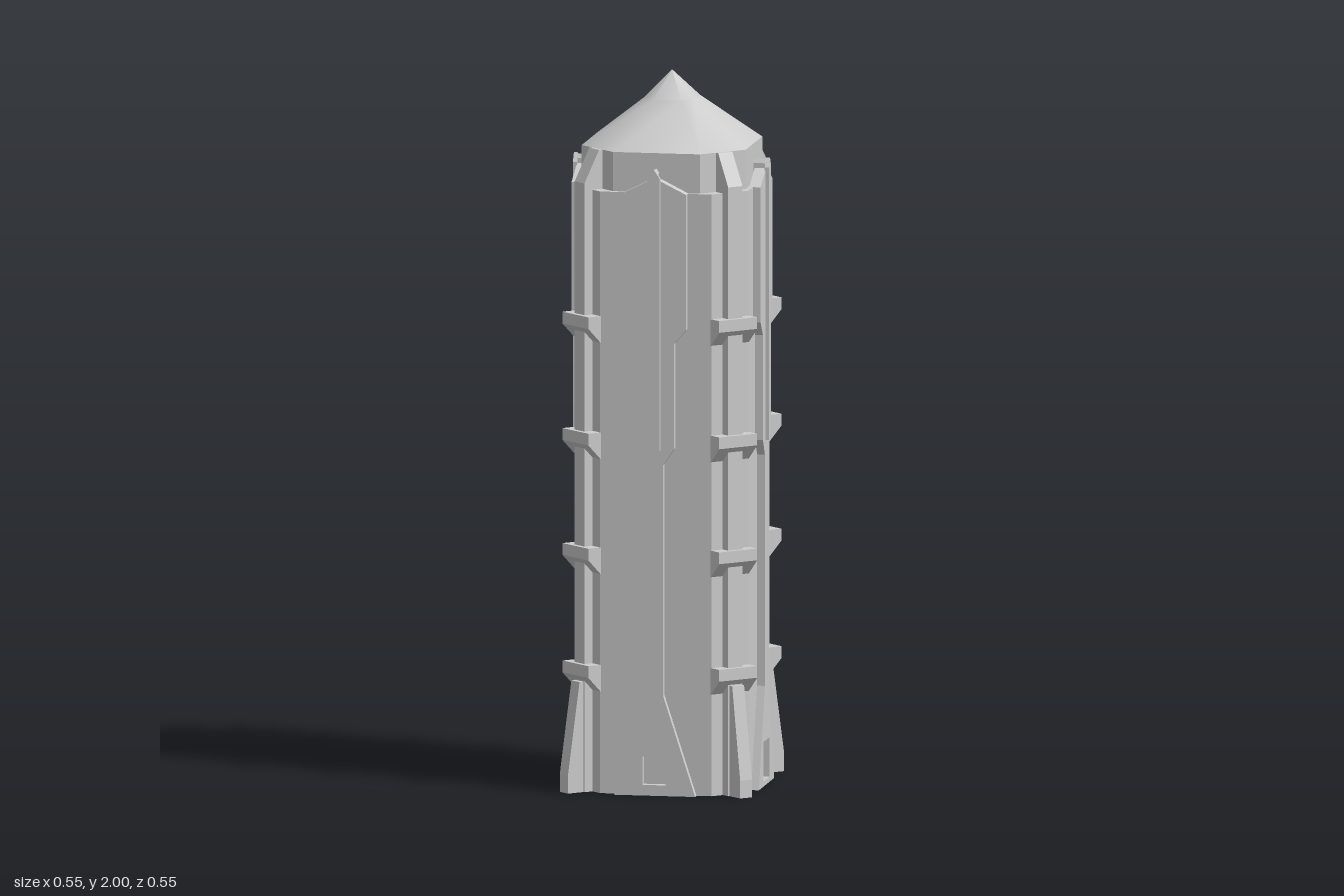
import * as THREE from 'three';

const grey = new THREE.MeshStandardMaterial({ color: 0xcccccc });
grey.name = 'lightGrey';

function mesh(name, geometry) {
  const m = new THREE.Mesh(geometry, grey);
  m.name = name;
  return m;
}

// Flat outline extruded from z0 to z1
function slab(points, z0, z1, holePoints) {
  const shape = new THREE.Shape(points.map(([x, y]) => new THREE.Vector2(x, y)));
  if (holePoints) shape.holes.push(new THREE.Path(holePoints.map(([x, y]) => new THREE.Vector2(x, y))));
  return new THREE.ExtrudeGeometry(shape, { depth: z1 - z0, bevelEnabled: false }).translate(0, 0, z0);
}

// Radial side profile (distance out, height) given a width; points out along +z
function radial(points, halfWidth) {
  return slab(points, -halfWidth, halfWidth).rotateY(-Math.PI / 2);
}

// Half outline (right side, bottom to top) mirrored about x = 0
function mirrored(half) {
  return [...half, ...half.slice().reverse().filter(([x]) => x > 0).map(([x, y]) => [-x, y])];
}

// Square with cut corners: a = half size, b = half length of the flat side
function octagon(a, b) {
  return [[a, -b], [a, b], [b, a], [-b, a], [-a, b], [-a, -b], [-b, -a], [b, -a]];
}

function prism(a, b, y0, y1) {
  return slab(octagon(a, b), y0, y1).rotateX(-Math.PI / 2);
}

// Smooth roof section between two octagons
function roofSection([a0, b0, y0], [a1, b1, y1]) {
  const pos = [], index = [];
  const low = octagon(a0, b0), high = octagon(a1, b1);
  for (let i = 0; i < 8; i++) {
    pos.push(low[i][0], y0, -low[i][1], high[i][0], y1, -high[i][1]);
    const p = i * 2, q = ((i + 1) % 8) * 2;
    index.push(p, q, q + 1, p, q + 1, p + 1);
  }
  const g = new THREE.BufferGeometry();
  g.setAttribute('position', new THREE.Float32BufferAttribute(pos, 3));
  g.setIndex(index);
  g.computeVertexNormals();
  return g;
}

// One decorated wall facing +z
function wall(windowHalf, windowLow, windowHigh) {
  const g = new THREE.Group();
  g.name = 'wallDecoration';
  const outline = mirrored([
    [0.115, 0], [0.025, 0.28], [0.025, 0.93], [0.055, 0.975],
    [0.055, 1.27], [0.09, 1.31], [0.09, 1.69], [0, 1.735],
  ]);
  const w = windowHalf;
  const hole = [[-w, windowLow], [-w, windowHigh], [w, windowHigh], [w, windowLow]];
  g.add(mesh('raisedPanel', slab(outline, 0.235, 0.267, hole)));
  g.add(mesh('ribFace', slab(mirrored([[0.017, 0.97], [0.017, 1.735], [0, 1.76]]), 0.265, 0.277)));
  g.add(mesh('ribWeb', slab(mirrored([[0.007, 1.6], [0.007, 1.745], [0, 1.757]]), 0.23, 0.267)));
  return g;
}

// One corner: pillar, brackets and bottom fin, facing +z before turning
function corner() {
  const g = new THREE.Group();
  g.name = 'cornerButtress';
  g.add(mesh('pillar', radial([[0.24, 0], [0.311, 0], [0.311, 1.71], [0.262, 1.8], [0.24, 1.8]], 0.024)));
  g.add(mesh('fin', radial([[0.27, 0], [0.364, 0], [0.364, 0.05], [0.325, 0.31], [0.27, 0.31]], 0.02)));
  for (const top of [0.36, 0.69, 1.013, 1.34]) {
    const profile = [[0.27, top - 0.075], [0.284, top - 0.075], [0.325, top - 0.033], [0.325, top], [0.27, top]];
    g.add(mesh('bracket', radial(profile, 0.064)));
  }
  return g;
}

export function createModel() {
  const model = new THREE.Group();
  model.name = 'tower';

  // Main shaft and the narrower core under the roof
  model.add(mesh('shaft', prism(0.245, 0.157, 0, 1.69)));
  model.add(mesh('core', prism(0.232, 0.123, 1.6, 1.8)));

  // Roof in two slopes
  model.add(mesh('roof', roofSection([0.232, 0.123, 1.8], [0.072, 0.04, 1.925])));
  model.add(mesh('roofTip', roofSection([0.072, 0.04, 1.925], [0.001, 0.0005, 2])));

  // Four walls and four corners
  for (let i = 0; i < 4; i++) {
    const side = i % 2 ? wall(0.045, 0.015, 0.125) : wall(0.033, 0.03, 0.11);
    side.rotation.y = (i * Math.PI) / 2;
    const buttress = corner();
    buttress.rotation.y = (i * Math.PI) / 2 + Math.PI / 4;
    model.add(side, buttress);
  }
  return model;
}
